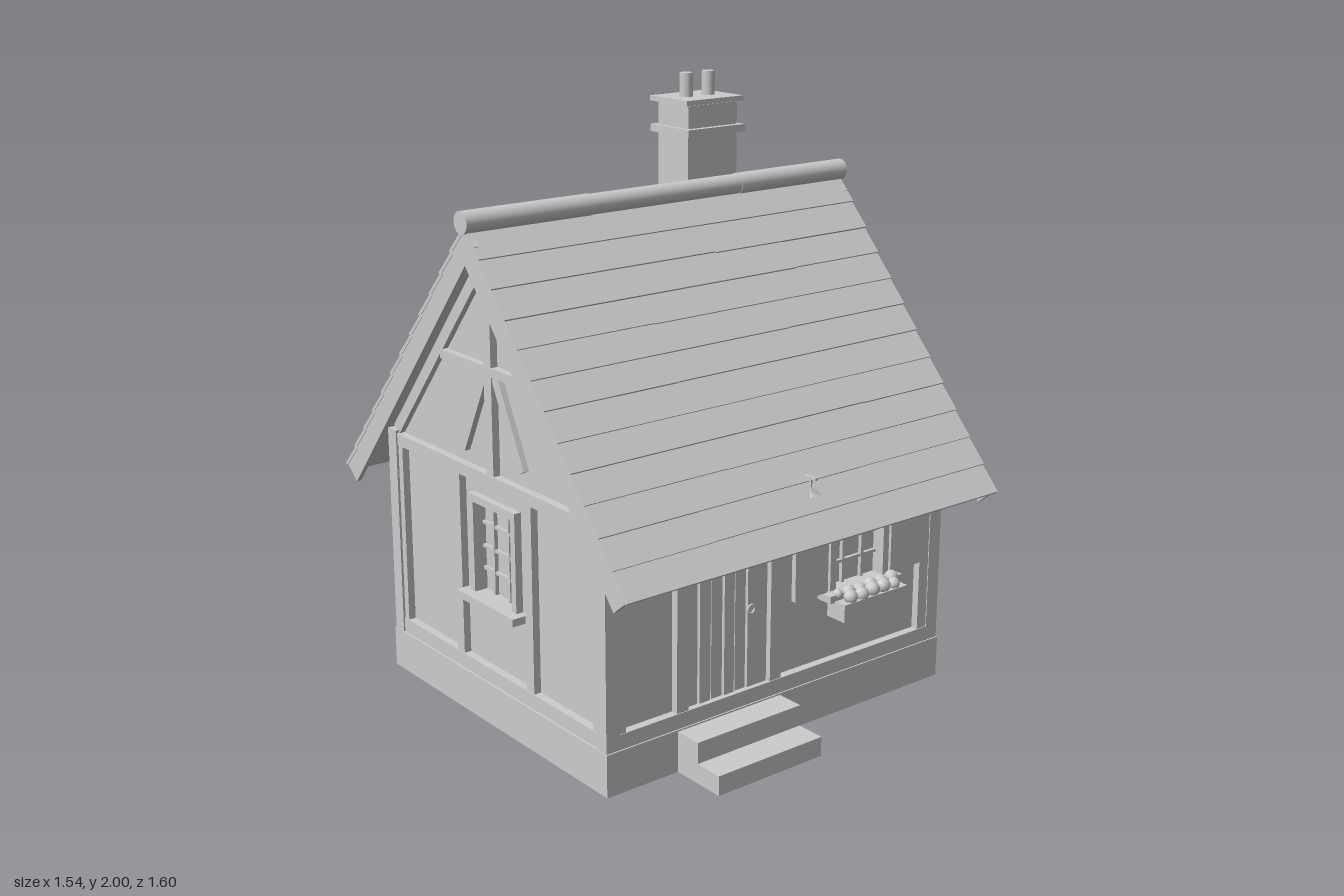
import * as THREE from 'three';

const plainGrey = new THREE.MeshStandardMaterial({ color: 0xcccccc });
plainGrey.name = 'plain grey';

let seed = 7;
const rand = () => (seed = (seed * 16807) % 2147483647) / 2147483647;

function add(parent, name, geometry, x = 0, y = 0, z = 0) {
  const mesh = new THREE.Mesh(geometry, plainGrey);
  mesh.name = name;
  mesh.position.set(x, y, z);
  parent.add(mesh);
  return mesh;
}

// Box given by its limits on each axis
function box(parent, name, x0, x1, y0, y1, z0, z1) {
  return add(parent, name, new THREE.BoxGeometry(x1 - x0, y1 - y0, z1 - z0),
    (x0 + x1) / 2, (y0 + y1) / 2, (z0 + z1) / 2);
}

// Timber between two points on a wall face
function timber(face, x0, y0, x1, y1, width = 0.04, depth = 0.025) {
  const length = Math.hypot(x1 - x0, y1 - y0);
  const mesh = add(face, 'timber', new THREE.BoxGeometry(length, width, depth),
    (x0 + x1) / 2, (y0 + y1) / 2, depth / 2);
  mesh.rotation.z = Math.atan2(y1 - y0, x1 - x0);
}

// Wall panel with rectangular openings [x0, x1, y0, y1]; its outer face is z = 0
function wall(parent, name, outline, openings, angle, distance) {
  const face = new THREE.Group();
  face.name = name;
  face.rotation.y = angle;
  face.position.set(Math.sin(angle) * distance, 0, Math.cos(angle) * distance);
  parent.add(face);
  const shape = new THREE.Shape(outline.map(p => new THREE.Vector2(...p)));
  for (const [a, b, c, d] of openings) {
    shape.holes.push(new THREE.Path([[a, c], [a, d], [b, d], [b, c]].map(p => new THREE.Vector2(...p))));
  }
  add(face, 'wallPanel', new THREE.ExtrudeGeometry(shape, { depth: 0.04, bevelEnabled: false }), 0, 0, -0.04);
  return face;
}

const WIN = { half: 0.13, y0: 0.43, y1: 0.76 };
const opening = x => [x - WIN.half, x + WIN.half, WIN.y0, WIN.y1];

function windowUnit(face, x, shutterX, flowers) {
  const w = new THREE.Group();
  w.name = 'window';
  w.position.x = x;
  face.add(w);
  const { half, y0, y1 } = WIN;
  box(w, 'pane', -half, half, y0, y1, -0.03, -0.022);
  for (const s of [-1, 1]) {
    const jamb = add(w, 'windowJamb', new THREE.BoxGeometry(0.025, y1 - y0, 0.05), s * (half - 0.0125), (y0 + y1) / 2, 0);
    jamb.name = 'windowJamb';
    add(w, 'glazingBar', new THREE.BoxGeometry(0.01, y1 - y0, 0.015), s * 0.042, (y0 + y1) / 2, -0.016);
    if (shutterX) add(w, 'shutter', new THREE.BoxGeometry(0.14, 0.34, 0.018), s * shutterX, 0.6, 0.016);
  }
  for (const y of [0.505, 0.58, 0.66]) box(w, 'glazingBar', -half, half, y - 0.005, y + 0.005, -0.024, -0.01);
  box(w, 'windowHead', -half, half, y1 - 0.025, y1, -0.025, 0.025);
  box(w, 'windowSill', -half - 0.03, half + 0.03, y0 - 0.025, y0, -0.02, 0.06);
  if (!flowers) return;
  // Flower box with round blooms
  box(w, 'flowerBox', -0.14, 0.14, 0.35, 0.41, 0.025, 0.105);
  for (let i = 0; i < 11; i++) {
    const bloom = add(w, 'flower', new THREE.IcosahedronGeometry(0.018 + rand() * 0.008, 1),
      -0.12 + i * 0.024, 0.418 + rand() * 0.01, 0.05 + (i % 2) * 0.035);
    bloom.rotation.set(rand() * 3, rand() * 3, 0);
  }
}

// Rails and two stacked braces in the panel between an outer and an inner post
function bracedPanel(face, outer, inner) {
  timber(face, outer, 0.465, inner, 0.465, 0.03, 0.023);
  timber(face, outer, 0.2, inner, 0.435, 0.035, 0.02);
  timber(face, outer, 0.495, inner, 0.795, 0.035, 0.02);
}

function rails(face, half) {
  timber(face, -half, 0.165, half, 0.165, 0.05, 0.028);
  timber(face, -half, 0.83, half, 0.83, 0.04, 0.028);
}

function gableTimbers(face) {
  rails(face, 0.57);
  timber(face, 0, 0.85, 0, 1.56);
  timber(face, -0.27, 1.185, 0.27, 1.185, 0.03);
  for (const s of [-1, 1]) {
    timber(face, s * 0.03, 1.17, s * 0.165, 0.9, 0.035, 0.02);
    timber(face, s * 0.55, 0.14, s * 0.55, 0.85);
    timber(face, s * 0.57, 0.86, 0, 1.55, 0.04, 0.02);
  }
}

function frontDetails(face) {
  rails(face, 0.65);
  for (const x of [-0.645, -0.405, -0.03, 0.63]) timber(face, x, 0.14, x, 0.85, 0.045);
  // Plank door with ring handle
  const edges = [-0.382, -0.332, -0.283, -0.234, -0.188, -0.14, -0.055];
  for (let i = 0; i < 6; i++) {
    box(face, 'doorPlank', edges[i] + 0.003, edges[i + 1] - 0.003, 0.17, 0.8, -0.03, 0.008 + (i % 2) * 0.004);
  }
  box(face, 'doorBacking', -0.382, -0.055, 0.16, 0.8, -0.035, -0.005);
  add(face, 'doorHandle', new THREE.TorusGeometry(0.014, 0.004, 6, 14), -0.13, 0.455, 0.02);
  windowUnit(face, 0.33, 0.21, true);
  // Lantern on a bracket
  box(face, 'lanternBracket', 0.035, 0.045, 0.865, 0.873, 0, 0.12);
  box(face, 'lanternHook', 0.037, 0.043, 0.83, 0.87, 0.092, 0.098);
  box(face, 'lanternBody', 0.02, 0.06, 0.785, 0.815, 0.075, 0.115);
  const cap = add(face, 'lanternCap', new THREE.ConeGeometry(0.035, 0.028, 4), 0.04, 0.828, 0.095);
  cap.rotation.y = Math.PI / 4;
}

function backDetails(face) {
  rails(face, 0.65);
  for (const s of [-1, 1]) {
    timber(face, s * 0.28, 0.14, s * 0.28, 0.85);
    timber(face, s * 0.64, 0.14, s * 0.64, 0.85);
    bracedPanel(face, s * 0.64, s * 0.28);
  }
  windowUnit(face, 0, 0.205, true);
}

// One slope: deck, overlapping board courses and barge boards; local z runs downhill
function roofSlope(parent, turn) {
  const side = new THREE.Group();
  side.name = 'roofSlope';
  side.rotation.y = turn;
  const slope = new THREE.Group();
  slope.position.y = 1.635;
  slope.rotation.x = 0.878;
  side.add(slope);
  parent.add(side);
  box(slope, 'roofDeck', -0.745, 0.745, -0.03, -0.008, 0.005, 1.21);
  for (const s of [-1, 1]) {
    add(slope, 'bargeBoard', new THREE.BoxGeometry(0.016, 0.071, 1.222), s * 0.75, -0.0355, 0.611);
  }
  for (let i = 0; i < 12; i++) {
    const split = -0.5 + rand();
    for (const [a, b] of [[-0.76, split], [split, 0.76]]) {
      const board = box(slope, 'roofBoard', a, b, -0.004, 0.008, i * 0.101, i * 0.101 + 0.112 + rand() * 0.004);
      board.rotation.x = -0.07;
      board.position.y += rand() * 0.002;
    }
  }
}

export function createModel() {
  const house = new THREE.Group();
  house.name = 'cottage';

  // Open plinth ring and doorstep
  for (const s of [-1, 1]) {
    add(house, 'plinth', new THREE.BoxGeometry(1.4, 0.14, 0.1), 0, 0.07, s * 0.56);
    add(house, 'plinth', new THREE.BoxGeometry(0.1, 0.14, 1.02), s * 0.65, 0.07, 0);
    for (const t of [-1, 1]) {
      add(house, 'cornerPost', new THREE.BoxGeometry(0.05, 0.72, 0.05), s * 0.673, 0.5, t * 0.58);
    }
  }
  box(house, 'upperStep', -0.43, -0.015, 0, 0.135, 0.6, 0.705);
  box(house, 'lowerStep', -0.43, -0.015, 0, 0.065, 0.6, 0.805);

  // Walls
  const long = [[-0.66, 0.14], [0.66, 0.14], [0.66, 0.86], [-0.66, 0.86]];
  const gable = [[-0.575, 0.14], [0.575, 0.14], [0.575, 0.88], [0, 1.58], [-0.575, 0.88]];
  frontDetails(wall(house, 'frontWall', long, [opening(0.33), [-0.385, -0.05, 0.16, 0.8]], 0, 0.577));
  backDetails(wall(house, 'backWall', long, [opening(0)], Math.PI, 0.577));

  const left = wall(house, 'leftGable', gable, [], Math.PI / 2, 0.665);
  gableTimbers(left);
  timber(left, 0, 0.14, 0, 0.85);
  for (const s of [-1, 1]) bracedPanel(left, s * 0.54, s * 0.02);

  const right = wall(house, 'rightGable', gable, [opening(0)], -Math.PI / 2, 0.665);
  gableTimbers(right);
  for (const s of [-1, 1]) timber(right, s * 0.2, 0.14, s * 0.2, 0.85);
  windowUnit(right, 0, 0, false);

  // Roof with three ridge caps
  roofSlope(house, 0);
  roofSlope(house, Math.PI);
  for (const [a, b, r] of [[-0.77, -0.3, 0.036], [-0.3, 0.3, 0.034], [0.3, 0.77, 0.036]]) {
    const cap = add(house, 'ridgeCap', new THREE.CylinderGeometry(r, r, b - a, 16), (a + b) / 2, 1.655, 0);
    cap.rotation.z = Math.PI / 2;
  }

  // Chimney
  box(house, 'chimneyStack', 0.217, 0.427, 1.15, 1.9, -0.305, -0.147);
  box(house, 'chimneyBand', 0.2, 0.445, 1.8, 1.825, -0.327, -0.125);
  box(house, 'chimneyCap', 0.2, 0.443, 1.903, 1.92, -0.33, -0.133);
  for (const x of [0.275, 0.37]) {
    add(house, 'chimneyPot', new THREE.CylinderGeometry(0.022, 0.022, 0.09, 14), x, 1.955, -0.23);
  }
  return house;
}
